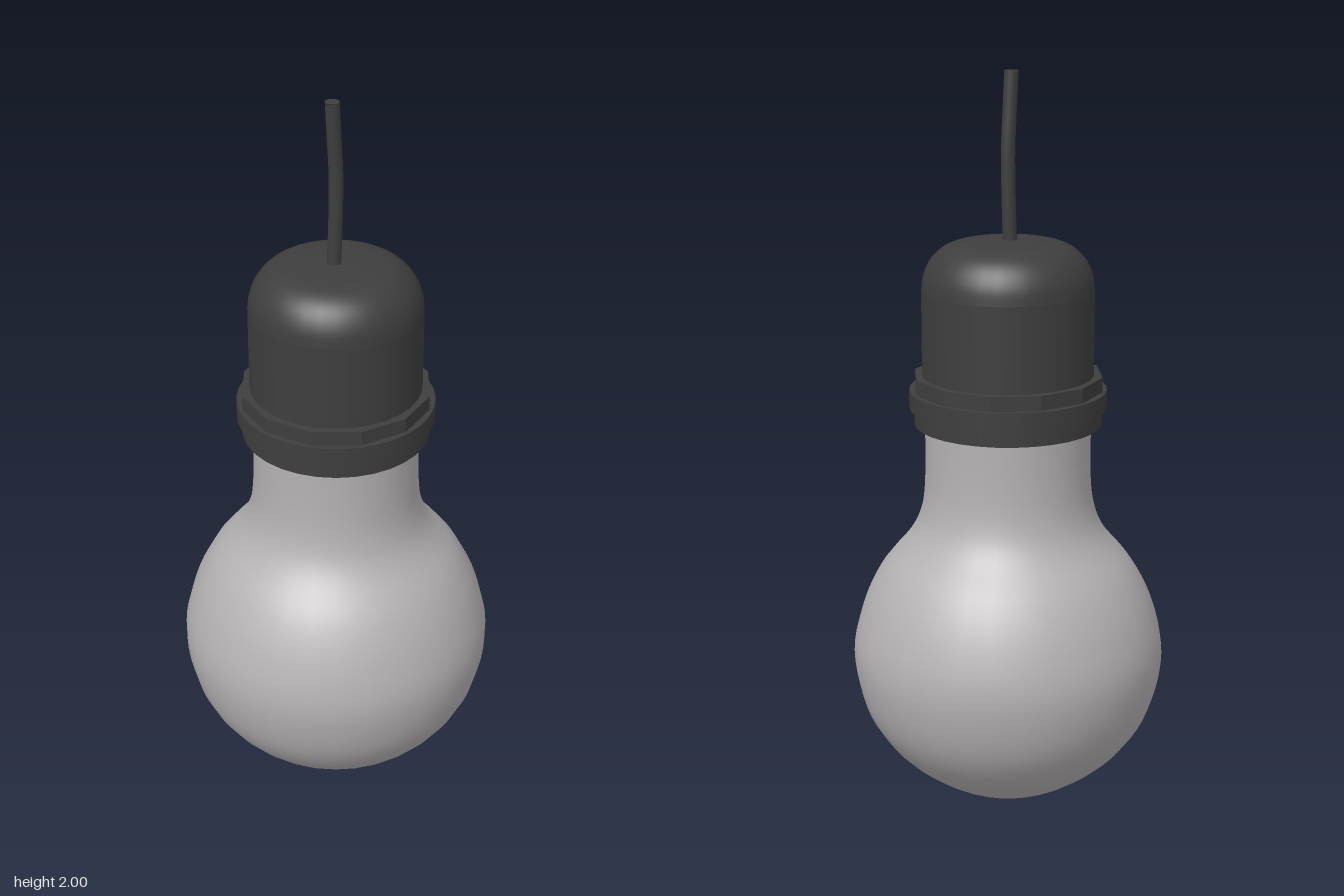
import * as THREE from 'three';

const glass = new THREE.MeshStandardMaterial({ name: 'frosted grey glass', color: 0xb5b2b4, side: THREE.DoubleSide });
const black = new THREE.MeshStandardMaterial({ name: 'dark plastic', color: 0x3e3e3e });

function add(group, name, geometry, material, y = 0) {
  const mesh = new THREE.Mesh(geometry, material);
  mesh.name = name;
  mesh.position.y = y;
  group.add(mesh);
  return mesh;
}

// Smooth surface of revolution from a few [radius, height] points
function turned(points, steps) {
  const curve = new THREE.SplineCurve(points.map(([r, y]) => new THREE.Vector2(r, y)));
  const profile = curve.getPoints(steps);
  profile.forEach((p) => { p.x = Math.max(p.x, 0); });
  return new THREE.LatheGeometry(profile, 32);
}

export function createModel() {
  const model = new THREE.Group();
  model.name = 'hangingBulb';

  // Glass bulb: round body easing into a straight neck
  add(model, 'bulb', turned([
    [0, 0], [0.1, 0.01], [0.21, 0.06], [0.32, 0.148], [0.395, 0.265], [0.425, 0.415],
    [0.4, 0.545], [0.345, 0.66], [0.268, 0.755], [0.235, 0.83], [0.224, 0.93], [0.224, 1.1],
  ], 48), glass);

  // Socket: straight wall and domed top
  add(model, 'socketWall', new THREE.CylinderGeometry(0.23, 0.23, 0.33, 32, 1, true), black, 1.265);
  add(model, 'socketDome', turned([
    [0.23, 1.43], [0.224, 1.47], [0.204, 1.51], [0.17, 1.54], [0.12, 1.555], [0, 1.562],
  ], 20), black);

  // Stacked collar rings; the top one is faceted
  add(model, 'lowerRing', new THREE.CylinderGeometry(0.252, 0.252, 0.05, 32), black, 1.09);
  add(model, 'middleRing', new THREE.CylinderGeometry(0.265, 0.265, 0.05, 32), black, 1.135);
  const facets = new THREE.CylinderGeometry(0.255, 0.255, 0.045, 12).toNonIndexed();
  facets.computeVertexNormals();
  add(model, 'facetedRing', facets, black, 1.1775);

  // Gently bent cord with a closed upper end
  const path = new THREE.CatmullRomCurve3([
    [0, 1.54, 0.008], [0, 1.67, 0.002], [0, 1.8, 0], [0, 1.91, 0.007], [0, 2, 0.013],
  ].map((p) => new THREE.Vector3(...p)));
  add(model, 'cord', new THREE.TubeGeometry(path, 16, 0.019, 12), black);
  const end = add(model, 'cordEnd', new THREE.CircleGeometry(0.019, 12), black, 2);
  end.position.z = 0.013;
  end.rotation.x = -Math.PI / 2;

  return model;
}
